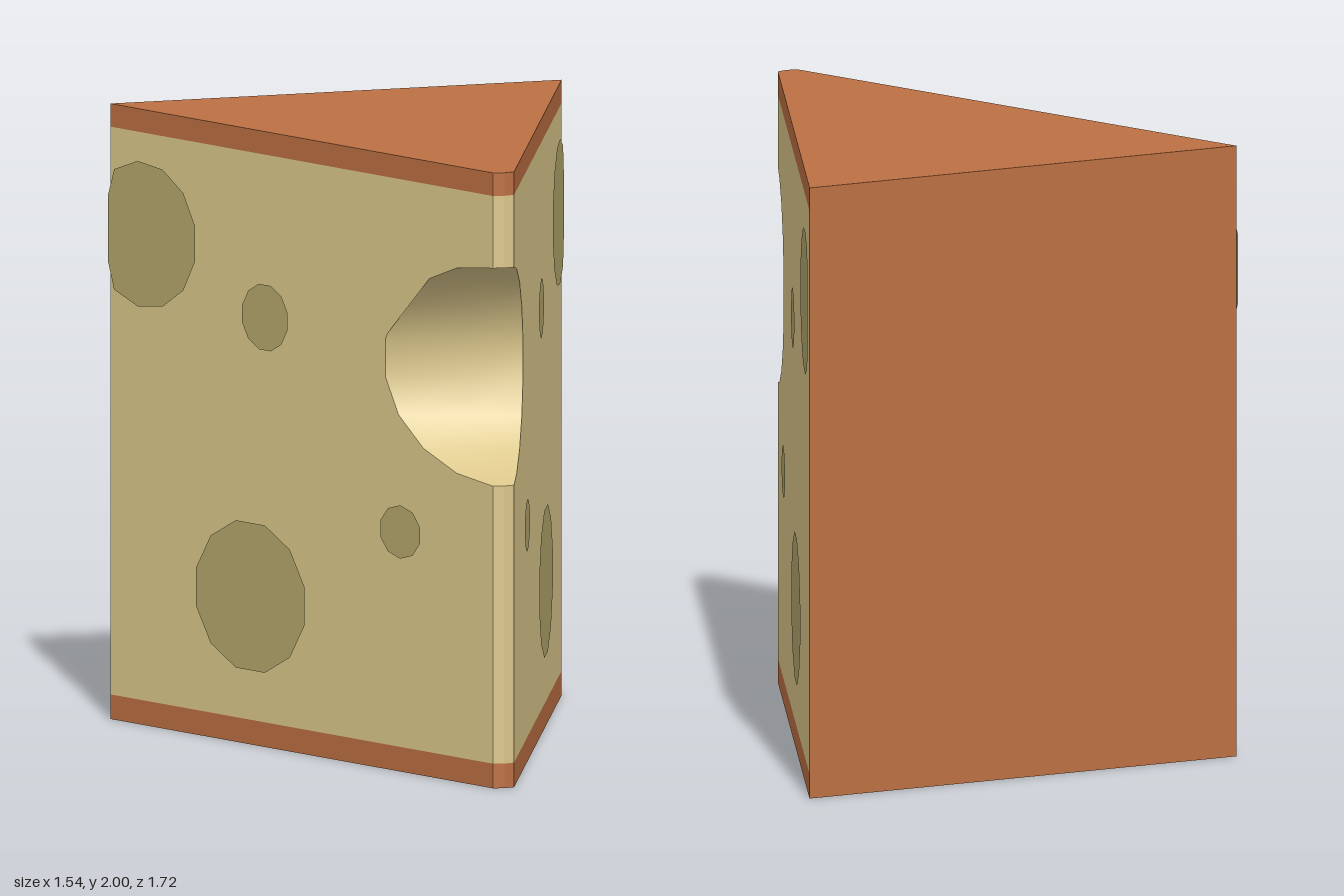
import * as THREE from 'three';
import { toCreasedNormals } from 'three/addons/utils/BufferGeometryUtils.js';

const BACK = -0.86, FRONT = 0.85, TIP = 0.86;
const SLOPE = 0.425; // how fast the wedge widens towards the back
const TILT = 0.39;   // slant of the bite's axis
const halfWidth = z => 0.036 + SLOPE * (FRONT - z);

const cheeseMat = new THREE.MeshStandardMaterial({ color: 0xdcc88c });
const rindMat = new THREE.MeshStandardMaterial({ color: 0xbc7043 });
const holeMat = new THREE.MeshStandardMaterial({ color: 0xb4a76d, side: THREE.DoubleSide });

// Extrudes a (z, y) profile across x and squeezes it into the wedge plan
function wedge(name, profile, material, biteEnd = -1) {
  const shape = new THREE.Shape(profile.map(p => new THREE.Vector2(p[0], p[1])));
  const geo = new THREE.ExtrudeGeometry(shape, { depth: 2, steps: 2, bevelEnabled: false });
  geo.translate(0, 0, -1);
  geo.rotateY(-Math.PI / 2);
  const pos = geo.attributes.position;
  for (let i = 0; i < pos.count; i++) {
    const side = Math.round(pos.getX(i)), y = pos.getY(i);
    let z = pos.getZ(i);
    const inBite = z > biteEnd && z < FRONT - 0.005 && biteEnd > 0;
    if (inBite && side === 0) z -= TILT * halfWidth(z);
    if (inBite && side < 0) z = (z - TILT * (halfWidth(z) + halfWidth(0))) / (1 - SLOPE * TILT);
    const x = side * halfWidth(z);
    if (side === 0 && z > FRONT - 0.005) z = TIP;
    pos.setXYZ(i, x, y, z);
  }
  const mesh = new THREE.Mesh(toCreasedNormals(geo, 0.5), material);
  mesh.name = name;
  return mesh;
}

const slab = (z0, z1, y0, y1) => [[z0, y0], [z1, y0], [z1, y1], [z0, y1]];

// Flat many-sided spot lying just proud of a side face, cut off at the back edge
function spot(side, z, y, rz, ry, sides) {
  const pts = [];
  for (let i = 0; i < sides; i++) {
    const a = (i + 0.5) / sides * Math.PI * 2;
    pts.push(new THREE.Vector2(Math.max(BACK, z + rz * Math.cos(a)), y + ry * Math.sin(a)));
  }
  const geo = new THREE.ShapeGeometry(new THREE.Shape(pts));
  const pos = geo.attributes.position;
  for (let i = 0; i < pos.count; i++) {
    const pz = pos.getX(i);
    pos.setXYZ(i, side * (halfWidth(pz) + 0.007), pos.getY(i), pz);
  }
  // Keep the face pointing outwards on the right-hand (+x) side
  if (side > 0) geo.index.array.reverse();
  geo.computeVertexNormals();
  const mesh = new THREE.Mesh(geo, holeMat);
  mesh.name = 'holeSpot';
  return mesh;
}

export function createModel() {
  const group = new THREE.Group();
  group.name = 'cheeseWedge';

  // Cheese body with a round bite through the thin edge
  const profile = [[BACK + 0.002, 0.08], [FRONT, 0.08], [FRONT, 0.982]];
  for (let i = 1; i <= 8; i++) {
    const a = -Math.PI / 2 - i * Math.PI / 9 - (i < 4.5 ? 0.0 : 0);
    profile.push([0.88 + 0.355 * Math.cos(a), 1.336 + 0.355 * Math.sin(a)]);
  }
  profile.push([FRONT, 1.69], [FRONT, 1.925], [BACK + 0.002, 1.925]);
  group.add(wedge('cheeseBody', profile, cheeseMat, 0.4));

  // Rind on the bottom, top and back
  group.add(wedge('bottomRind', slab(BACK, FRONT, 0, 0.08), rindMat));
  group.add(wedge('topRind', slab(BACK, FRONT, 1.925, 2), rindMat));
  group.add(wedge('backRind', slab(BACK, BACK + 0.002, 0.08, 1.925), rindMat));

  // Hole spots on both side faces
  for (const side of [1, -1]) {
    group.add(spot(side, -0.7, 1.595, 0.235, 0.238, 13));
    group.add(side > 0 ? spot(side, -0.06, 1.397, 0.09, 0.1, 10) : spot(side, -0.16, 1.397, 0.105, 0.11, 12));
    group.add(spot(side, 0.445, 0.78, 0.093, 0.087, 10));
    group.add(spot(side, -0.225, 0.482, 0.25, 0.248, 12));
  }
  return group;
}
